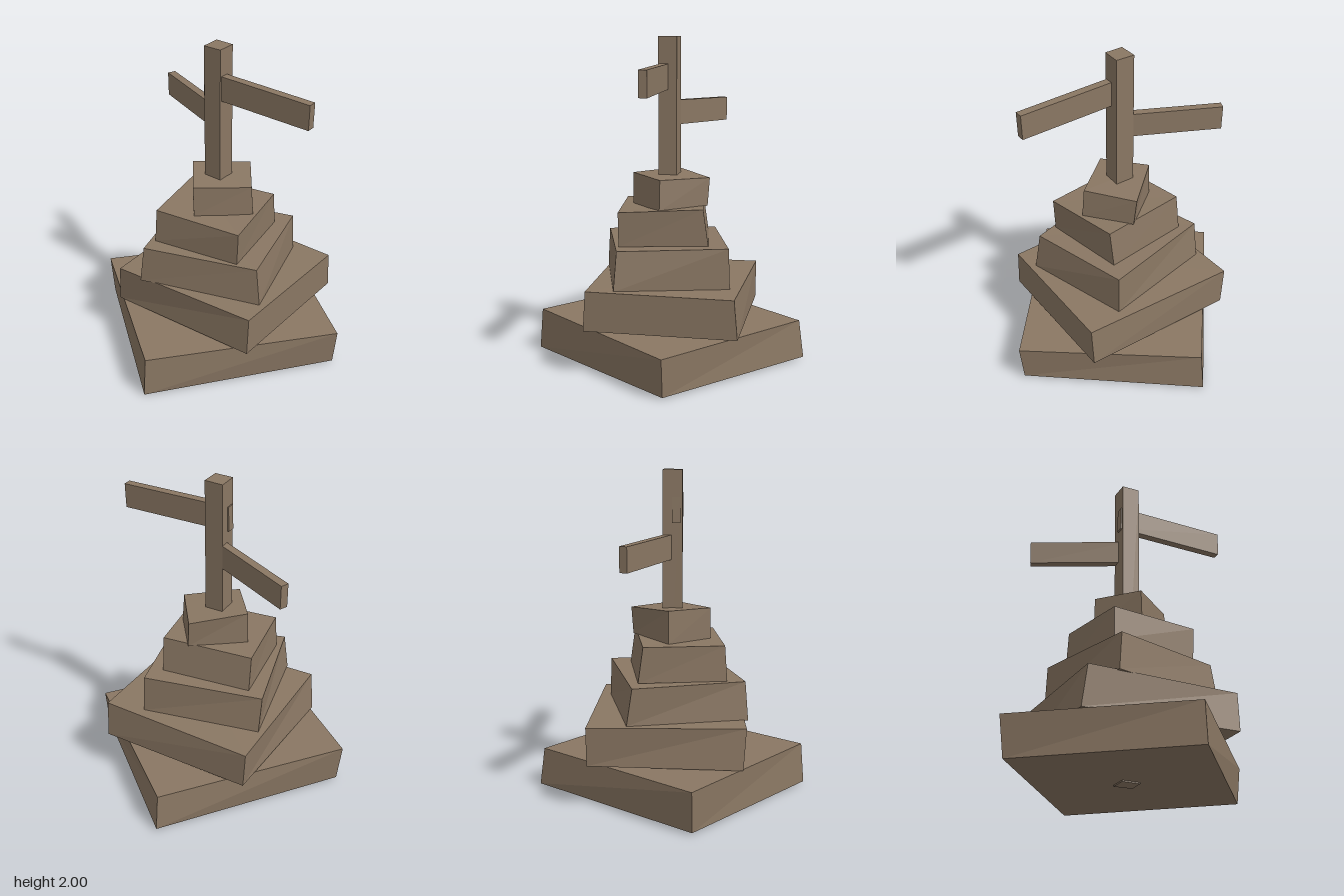
import * as THREE from 'three';

// Crooked stone blocks: corners [x, y, z] run left, front, right, back
const BLOCKS = {
  baseStone: {
    bottom: [[-0.80, 0.012, 0.20], [0.12, 0.006, 0.835], [0.80, 0.01, -0.18], [-0.12, 0.01, -0.84]],
    top: [[-0.83, 0.265, 0.20], [0.12, 0.26, 0.815], [0.825, 0.24, -0.18], [-0.115, 0.245, -0.81]],
  },
  secondStone: {
    bottom: [[-0.50, 0.275, -0.46], [-0.45, 0.265, 0.47], [0.55, 0.275, 0.38], [0.49, 0.275, -0.54]],
    top: [[-0.515, 0.515, -0.46], [-0.42, 0.515, 0.485], [0.55, 0.517, 0.365], [0.495, 0.513, -0.52]],
  },
  thirdStone: {
    bottom: [[-0.455, 0.515, -0.225], [-0.235, 0.51, 0.485], [0.50, 0.513, 0.205], [0.26, 0.513, -0.445]],
    top: [[-0.455, 0.745, -0.19], [-0.215, 0.748, 0.465], [0.465, 0.75, 0.195], [0.255, 0.758, -0.435]],
  },
  fourthStone: {
    bottom: [[-0.345, 0.75, -0.17], [-0.22, 0.748, 0.355], [0.335, 0.75, 0.225], [0.21, 0.757, -0.30]],
    top: [[-0.34, 0.97, -0.14], [-0.215, 0.965, 0.34], [0.345, 0.96, 0.225], [0.22, 0.98, -0.27]],
  },
  topStone: {
    bottom: [[-0.225, 0.968, 0], [0, 0.963, 0.235], [0.265, 0.965, -0.01], [0.045, 0.975, -0.255]],
    top: [[-0.22, 1.17, 0], [-0.005, 1.157, 0.235], [0.25, 1.15, -0.01], [0.03, 1.147, -0.265]],
  },
};

// Closed six-sided block from four bottom and four top corners
function blockGeometry(bottom, top) {
  const points = [];
  const quad = (a, b, c, d) => points.push(...a, ...b, ...c, ...a, ...c, ...d);
  quad(...top);
  quad(...[...bottom].reverse());
  for (let i = 0; i < 4; i++) {
    const j = (i + 1) % 4;
    quad(bottom[i], bottom[j], top[j], top[i]);
  }
  const geometry = new THREE.BufferGeometry();
  geometry.setAttribute('position', new THREE.Float32BufferAttribute(points, 3));
  geometry.computeVertexNormals();
  return geometry;
}

// Rectangular board whose centre line runs between two points
function board(name, start, end, height, thickness, material) {
  const a = new THREE.Vector3(...start), b = new THREE.Vector3(...end);
  const mesh = new THREE.Mesh(new THREE.BoxGeometry(thickness, height, a.distanceTo(b)), material);
  mesh.name = name;
  mesh.position.copy(a).lerp(b, 0.5);
  mesh.lookAt(b);
  return mesh;
}

export function createModel() {
  const model = new THREE.Group();
  model.name = 'signpostOnStones';
  const brown = new THREE.MeshStandardMaterial({ color: 0x8a7763 });
  brown.name = 'weathered brown';

  // Stacked stones
  for (const [name, { bottom, top }] of Object.entries(BLOCKS)) {
    const stone = new THREE.Mesh(blockGeometry(bottom, top), brown);
    stone.name = name;
    model.add(stone);
  }

  // Upright post running through the whole stack
  const section = [[-0.07, -0.055], [-0.06, 0.065], [0.055, 0.055], [0.05, -0.06]];
  const at = (y) => section.map(([x, z]) => [x, y, z]);
  const post = new THREE.Mesh(blockGeometry(at(0), at(2)), brown);
  post.name = 'post';
  model.add(post);

  // Sign boards
  model.add(board('leftBoard', [-0.072, 1.76, 0.029], [0.65, 1.742, -0.027], 0.155, 0.051, brown));
  model.add(board('rightBoard', [0.0, 1.537, -0.003], [-0.59, 1.525, -0.212], 0.15, 0.05, brown));

  return model;
}
